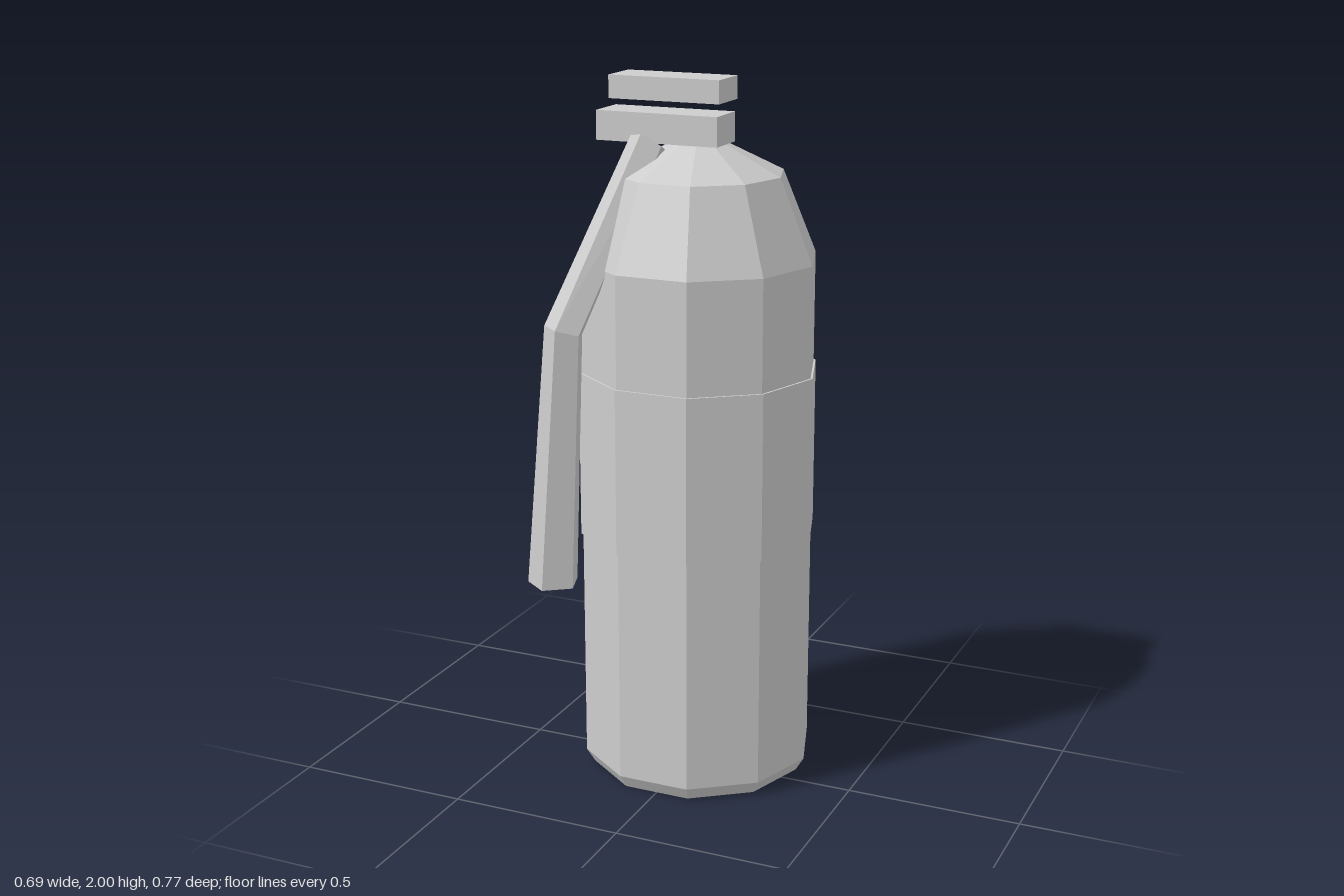
import * as THREE from 'three';

const metal = new THREE.MeshStandardMaterial({ color: 0xcccccc, flatShading: true });
metal.name = 'light grey';

const AXIS_Z = -0.063; // the bottle stands slightly behind the centre

// Ten-sided turned part from [radius, height] pairs, listed bottom to top
function turned(name, profile) {
  const points = profile.map(([r, y]) => new THREE.Vector2(r, y));
  const mesh = new THREE.Mesh(new THREE.LatheGeometry(points, 10, Math.PI / 2), metal);
  mesh.name = name;
  mesh.position.z = AXIS_Z;
  return mesh;
}

function bar(name, x0, x1, y0, y1) {
  const mesh = new THREE.Mesh(new THREE.BoxGeometry(x1 - x0, y1 - y0, 0.127), metal);
  mesh.name = name;
  mesh.position.set((x0 + x1) / 2, (y0 + y1) / 2, AXIS_Z);
  return mesh;
}

// Five-sided ring around a centre, tilted by its slopes along x and z
function ring(cx, cy, cz, r, slopeX = 0, slopeZ = 0) {
  return Array.from({ length: 5 }, (_, i) => {
    const a = (i - 1) * Math.PI * 2 / 5;
    const dx = r * Math.sin(a), dz = r * Math.cos(a);
    return [cx + dx, cy + dx * slopeX + dz * slopeZ, cz + dz];
  });
}

// Skin a stack of rings and close both ends
function loft(rings) {
  const n = rings[0].length, index = [];
  for (let k = 0; k < rings.length - 1; k++) {
    for (let i = 0; i < n; i++) {
      const j = (i + 1) % n, a = k * n, b = a + n;
      index.push(a + i, a + j, b + j, a + i, b + j, b + i);
    }
  }
  const last = (rings.length - 1) * n;
  for (let i = 1; i < n - 1; i++) {
    index.push(0, i + 1, i, last, last + i, last + i + 1);
  }
  const geometry = new THREE.BufferGeometry();
  geometry.setAttribute('position', new THREE.Float32BufferAttribute(rings.flat(2), 3));
  geometry.setIndex(index);
  const flat = geometry.toNonIndexed();
  flat.computeVertexNormals();
  return flat;
}

export function createModel() {
  const group = new THREE.Group();
  group.name = 'fireExtinguisher';

  // Bottle with chamfered foot and stepped shoulder
  group.add(turned('bottle', [
    [0, 0], [0.312, 0], [0.336, 0.04], [0.336, 1.505], [0.24, 1.74], [0.08, 1.82], [0, 1.82],
  ]));

  // Raised band around the middle
  group.add(turned('labelBand', [[0.336, 0.715], [0.342, 0.715], [0.342, 1.19], [0.336, 1.19]]));

  // Carrying handle and squeeze lever
  group.add(bar('handle', -0.281, 0.08, 1.82, 1.902));
  group.add(bar('lever', -0.242, 0.086, 1.936, 2.0));

  // Hose that widens into the nozzle, listed from the nozzle up into the bottle
  const hose = new THREE.Mesh(loft([
    ring(-0.275, 0.628, 0.313, 0.073),
    ring(-0.237, 1.35, 0.297, 0.054, -0.2, 0.2),
    [[-0.167, 1.842, 0.02], [-0.118, 1.853, 0.06], [-0.068, 1.82, 0.035],
      [-0.075, 1.787, 0.053], [-0.135, 1.79, 0.045]],
    [[-0.145, 1.765, -0.07], [-0.105, 1.785, -0.07], [-0.07, 1.765, -0.07],
      [-0.08, 1.72, -0.07], [-0.13, 1.72, -0.07]],
  ]), metal);
  hose.name = 'hose';
  group.add(hose);

  return group;
}
